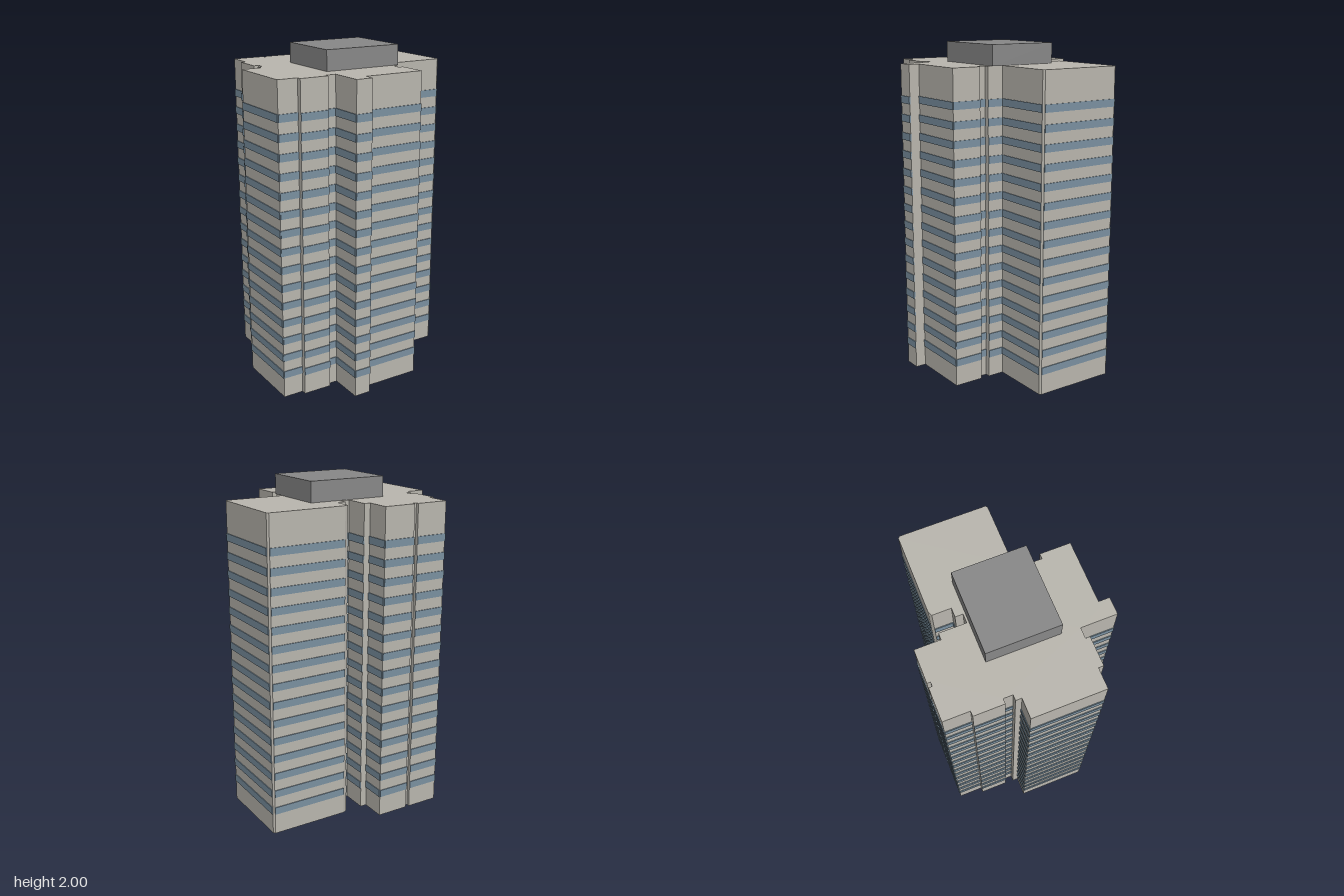
import * as THREE from 'three';
import { mergeGeometries } from 'three/addons/utils/BufferGeometryUtils.js';

const BODY_HEIGHT = 1.88;
const FLOORS = 15;

// Floor plan as [x, z], clockwise seen from above
const PLAN = [
  [-0.46, -0.53], [-0.265, -0.53], [-0.265, -0.51], [-0.241, -0.51], [-0.241, -0.53],
  [-0.044, -0.53], [-0.044, -0.38], [-0.005, -0.38], [-0.005, -0.223], [0.048, -0.223],
  [0.048, -0.268], [0.102, -0.268], [0.102, -0.377], [0.126, -0.389],
  [0.595, -0.389], [0.605, -0.379], [0.605, 0.12], [0.595, 0.13],
  [0.223, 0.13], [0.223, 0.23], [0.192, 0.23], [0.192, 0.284], [0.223, 0.284],
  [0.223, 0.463], [-0.15, 0.463], [-0.15, 0.527], [-0.252, 0.527], [-0.252, 0.316],
  [-0.315, 0.316], [-0.315, 0.342], [-0.488, 0.342], [-0.488, 0.312], [-0.61, 0.312],
  [-0.61, -0.112], [-0.493, -0.112], [-0.493, -0.147], [-0.46, -0.147], [-0.46, -0.2],
  [-0.49, -0.2], [-0.49, -0.377], [-0.46, -0.377],
];

// One floor's ring of window plates, one on every wall wide enough to carry glass
function windowRing() {
  const plates = [];
  PLAN.forEach(([x0, z0], i) => {
    const [x1, z1] = PLAN[(i + 1) % PLAN.length];
    const dx = x1 - x0, dz = z1 - z0;
    const length = Math.hypot(dx, dz);
    const pierSide = x0 === -0.15 && x1 === -0.15; // blank wall
    if (length < 0.05 || pierSide) return;
    const plate = new THREE.BoxGeometry(length, 0.044, 0.009);
    plate.rotateY(Math.atan2(-dz, dx));
    // the outer face stands 0.005 proud of the wall
    const out = 0.0005 / length;
    plate.translate((x0 + x1) / 2 + dz * out, 0, (z0 + z1) / 2 - dx * out);
    plates.push(plate);
  });
  return mergeGeometries(plates);
}

export function createModel() {
  const concrete = new THREE.MeshStandardMaterial({ color: 0xb9b6ae });
  concrete.name = 'concrete';
  const glass = new THREE.MeshStandardMaterial({ color: 0x7a90a0 });
  glass.name = 'blue glass';
  const plant = new THREE.MeshStandardMaterial({ color: 0x888888 });
  plant.name = 'roof grey';

  const group = new THREE.Group();
  group.name = 'towerBlock';
  const add = (name, geometry, material, y) => {
    const mesh = new THREE.Mesh(geometry, material);
    mesh.name = name;
    mesh.position.y = y;
    group.add(mesh);
    return mesh;
  };

  // Tower body
  const shape = new THREE.Shape(PLAN.map(([x, z]) => new THREE.Vector2(x, -z)));
  const body = new THREE.ExtrudeGeometry(shape, { depth: BODY_HEIGHT, bevelEnabled: false });
  body.rotateX(-Math.PI / 2);
  add('towerBody', body, concrete, 0);

  // Window bands
  const ring = windowRing();
  for (let i = 0; i < FLOORS; i++) {
    add(`windowBand${i + 1}`, ring, glass, 0.146 + i * 0.109);
  }

  // Roof plant room
  const room = add('plantRoom', new THREE.BoxGeometry(0.484, 0.12, 0.422), plant, BODY_HEIGHT + 0.06);
  room.position.x = -0.003;

  return group;
}
